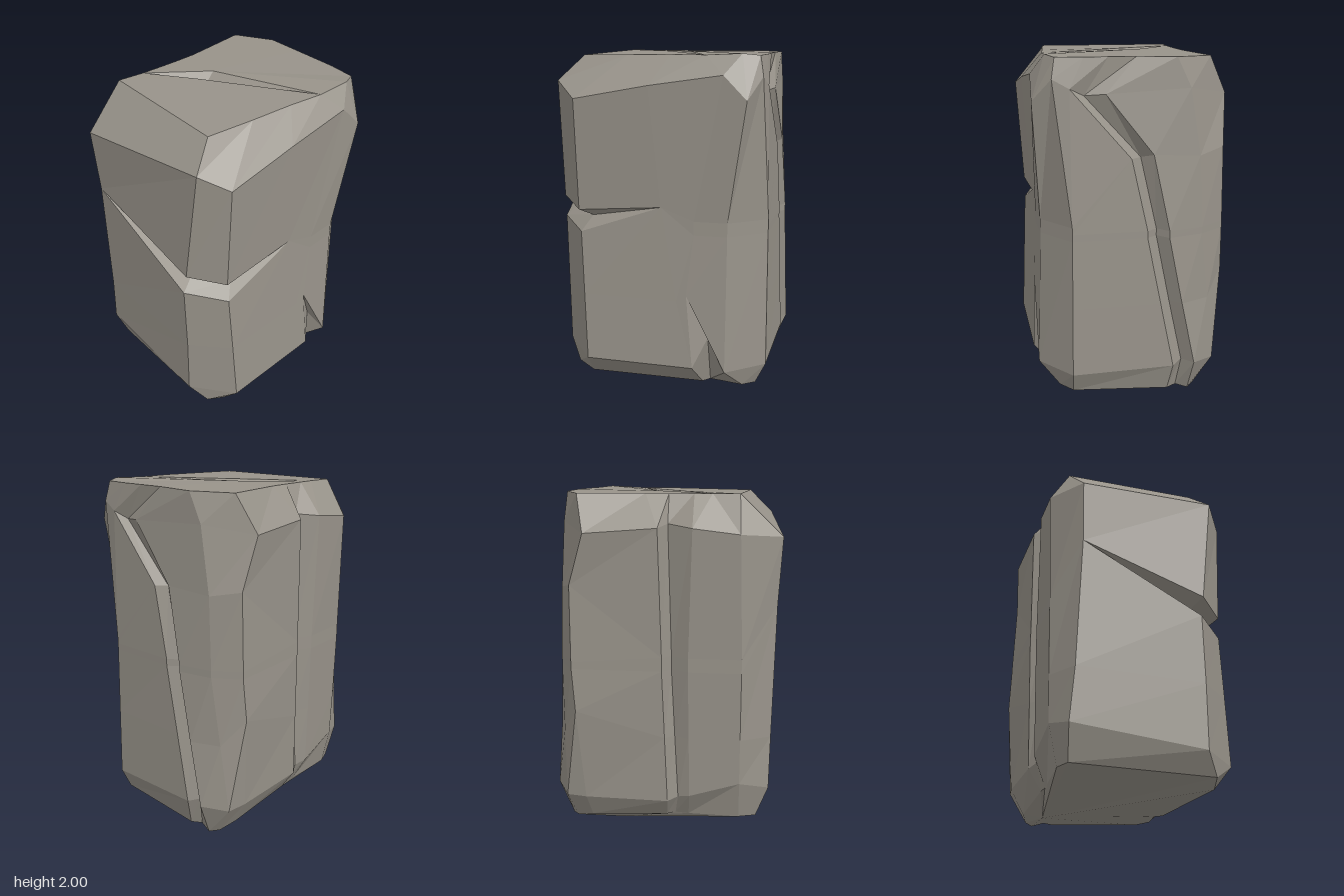
import * as THREE from 'three';

// Cross-sections run anticlockwise seen from above, 16 points each:
// 0-1 front, 2-5 right side (+x), 6 back corner, 7-9 back groove,
// 10-11 back corner, 12-14 side groove (-x), 15 front corner.
const base = [
  [-0.43, 0.10, 0.55], [0.40, 0.10, 0.55], [0.43, 0.06, 0.45], [0.42, 0.06, -0.24],
  [0.38, 0.06, -0.28], [0.43, 0.07, -0.48], [0.36, 0.06, -0.55], [-0.20, 0.03, -0.59],
  [-0.26, 0.03, -0.56], [-0.33, 0.01, -0.58], [-0.38, 0.02, -0.54], [-0.42, 0.05, -0.44],
  [-0.43, 0.08, 0.02], [-0.42, 0.09, 0.07], [-0.43, 0.09, 0.15], [-0.46, 0.10, 0.45],
];
const lower = [
  [-0.45, 0.29, 0.62], [0.32, 0.22, 0.63], [0.55, 0.20, 0.44], [0.55, 0.20, -0.20],
  [0.48, 0.37, -0.28], [0.54, 0.19, -0.39], [0.37, 0.19, -0.61], [-0.22, 0.20, -0.64],
  [-0.28, 0.22, -0.60], [-0.34, 0.22, -0.665], [-0.48, 0.20, -0.58], [-0.50, 0.20, -0.46],
  [-0.51, 0.20, 0.03], [-0.48, 0.22, 0.09], [-0.51, 0.24, 0.16], [-0.51, 0.33, 0.45],
];
const waist = [ // x, z
  [-0.40, 0.63], [0.33, 0.63], [0.51, 0.47], [0.51, 0.00],
  [0.515, -0.20], [0.51, -0.39], [0.36, -0.60], [-0.06, -0.62],
  [-0.12, -0.58], [-0.18, -0.645], [-0.38, -0.61], [-0.53, -0.52],
  [-0.53, 0.00], [-0.47, 0.05], [-0.53, 0.15], [-0.53, 0.45],
];
const upper = [
  [-0.41, 1.75, 0.66], [0.43, 1.84, 0.61], [0.545, 1.75, 0.48], [0.545, 1.83, 0.05],
  [0.54, 1.89, -0.36], [0.55, 1.76, -0.49], [0.45, 1.88, -0.56], [0.36, 1.83, -0.58],
  [0.28, 1.79, -0.55], [0.17, 1.80, -0.595], [-0.30, 1.82, -0.59], [-0.55, 1.77, -0.43],
  [-0.54, 1.80, -0.02], [-0.47, 1.82, 0.03], [-0.54, 1.80, 0.17], [-0.55, 1.77, 0.43],
];
const rim = [
  [-0.43, 1.98, 0.42], [0.36, 1.98, 0.47], [0.40, 1.985, 0.20], [0.43, 1.99, -0.05],
  [0.46, 1.99, -0.25], [0.47, 2.00, -0.45], [0.43, 1.99, -0.54], [0.28, 1.99, -0.56],
  [0.15, 1.99, -0.565], [0.00, 1.99, -0.57], [-0.22, 1.985, -0.585], [-0.44, 1.98, -0.48],
  [-0.40, 1.98, -0.10], [-0.40, 1.98, 0.03], [-0.405, 1.98, 0.17], [-0.41, 1.98, 0.27],
];

// A waist ring at height y, with some points moved
function waistRing(y, moved) {
  return waist.map(([x, z], i) => moved[i] || [x, y, z]);
}

function createStone(material) {
  // Ring below the cut: halfway between lower and waist; points 4 and 5 close the small chip
  const belly = lower.map((p, i) =>
    [(p[0] + waist[i][0]) / 2, 0.6, (p[2] + waist[i][1]) / 2]);
  belly[4] = [0.53, 0.64, -0.16];
  belly[5] = lower[5];
  belly[11] = [-0.54, 0.75, -0.50];

  // Wedge-shaped cut around the front right corner, tapering to a point at both ends
  const start = [-0.40, 1.37, 0.64], end = [0.51, 1.15, -0.01];
  const cutLow = waistRing(1.0, { 0: start, 1: [0.32, 1.02, 0.635], 2: [0.51, 0.98, 0.47], 3: end });
  const cutDeep = waistRing(1.04, { 0: start, 1: [0.29, 1.10, 0.54], 2: [0.46, 1.07, 0.41], 3: end });
  const cutHigh = waistRing(1.08, {
    0: start, 1: [0.34, 1.15, 0.63], 2: [0.51, 1.11, 0.48], 3: end,
    // the back groove and back corner bend higher up
    7: [0.03, 1.45, -0.605], 8: [-0.03, 1.45, -0.56], 9: [-0.09, 1.47, -0.62],
    10: [-0.36, 1.45, -0.60], 11: [-0.52, 1.48, -0.52],
  });

  const rings = [base, lower, belly, cutLow, cutDeep, cutHigh, upper, rim];
  const n = base.length;
  const positions = [];
  const tri = (a, b, c) => positions.push(...a, ...b, ...c);

  // Walls
  for (let r = 0; r < rings.length - 1; r++) {
    for (let i = 0; i < n; i++) {
      const j = (i + 1) % n;
      const a = rings[r][i], b = rings[r][j], c = rings[r + 1][j], d = rings[r + 1][i];
      tri(a, b, c);
      tri(a, c, d);
    }
  }

  // Underside, coming to a low point near the back
  const foot = [-0.34, 0, -0.28];
  for (let i = 0; i < n; i++) tri(foot, base[(i + 1) % n], base[i]);

  // Top, split by a shallow diagonal crack from rim point 15 to rim point 4
  const frontLip = [-0.14, 1.985, 0.10], backLip = [-0.15, 1.985, -0.03], crack = [-0.15, 1.93, 0.02];
  for (let i = 0; i < n; i++) {
    const lip = i >= 4 && i < 15 ? backLip : frontLip;
    tri(lip, rim[i], rim[(i + 1) % n]);
  }
  tri(frontLip, rim[4], crack);
  tri(rim[15], frontLip, crack);
  tri(rim[4], backLip, crack);
  tri(backLip, rim[15], crack);

  const geometry = new THREE.BufferGeometry();
  geometry.setAttribute('position', new THREE.Float32BufferAttribute(positions, 3));
  geometry.computeVertexNormals(); // unshared corners keep the facets flat
  const mesh = new THREE.Mesh(geometry, material);
  mesh.name = 'stonePillar';
  return mesh;
}

export function createModel() {
  const stone = new THREE.MeshStandardMaterial({ color: 0x98938a });
  stone.name = 'warm grey stone';
  const group = new THREE.Group();
  group.name = 'rock';
  group.add(createStone(stone));
  return group;
}
